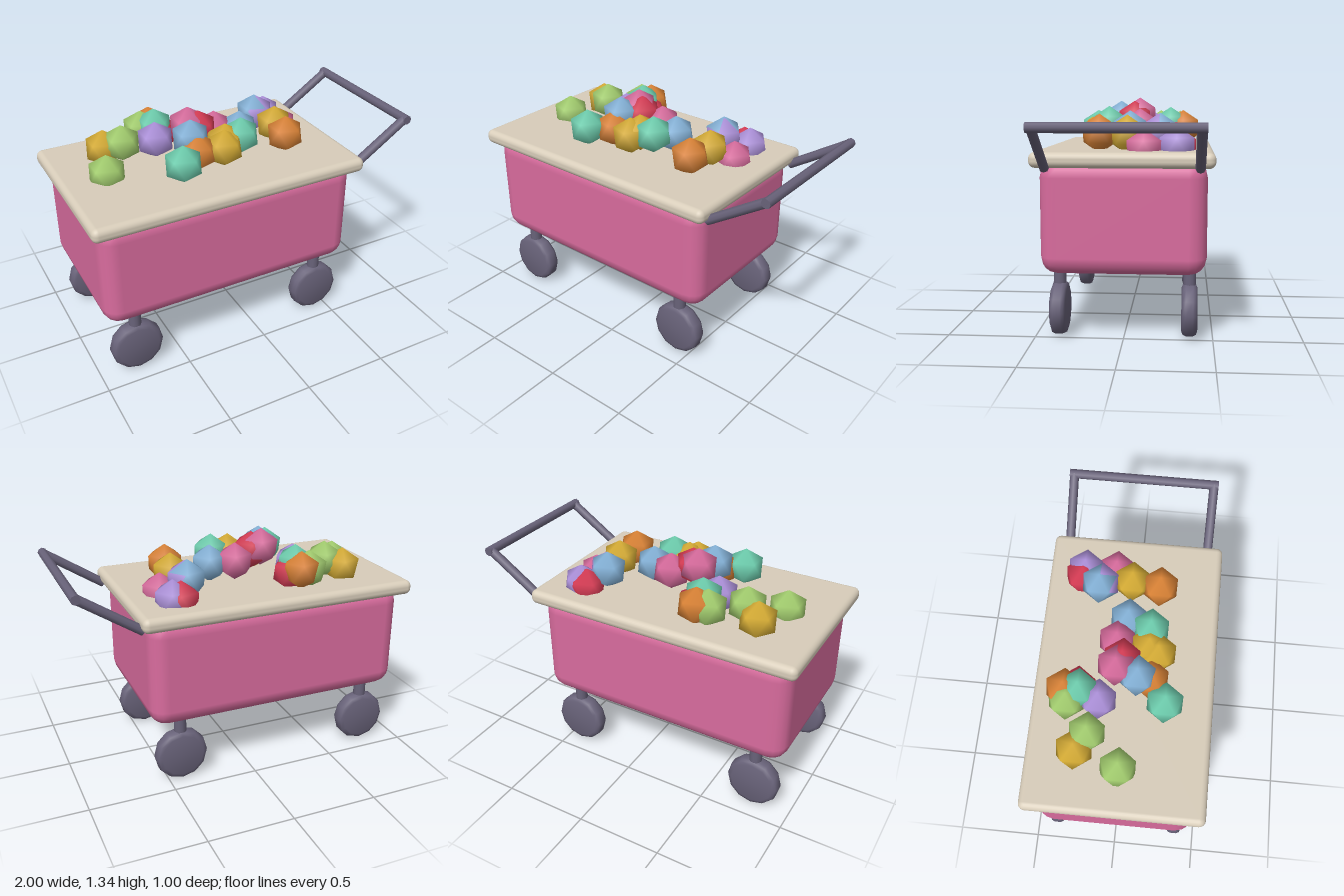
import * as THREE from 'three';
import { toCreasedNormals } from 'three/addons/utils/BufferGeometryUtils.js';
import { RoundedBoxGeometry } from 'three/addons/geometries/RoundedBoxGeometry.js';

const COLORS = {
  pink: 0xd96c9e, cream: 0xd8cdba, slate: 0x69637a, lime: 0xa5d070, yellow: 0xd8ae35,
  teal: 0x6fd0b0, blue: 0x86b4da, orange: 0xdc8436, purple: 0xae92dc, red: 0xd83c55,
};

// colour, centre x, y, z of every candy
const CANDIES = [
  ['lime', -0.74, 1.08, 0.01], ['yellow', -0.67, 1.11, -0.23], ['lime', -0.58, 1.145, -0.17],
  ['lime', -0.41, 1.145, -0.3], ['orange', -0.35, 1.15, -0.32], ['teal', -0.35, 1.17, -0.24],
  ['red', -0.32, 1.12, -0.25], ['purple', -0.39, 1.14, -0.13], ['pink', -0.22, 1.23, -0.05],
  ['red', -0.17, 1.21, -0.02], ['pink', -0.05, 1.165, -0.06], ['blue', 0.09, 1.155, -0.01],
  ['blue', -0.26, 1.21, 0.07], ['orange', -0.25, 1.15, 0.14], ['yellow', -0.1, 1.155, 0.17],
  ['yellow', -0.07, 1.165, 0.12], ['teal', 0.03, 1.18, 0.12], ['teal', -0.38, 1.15, 0.23],
  ['orange', 0.31, 1.14, 0.15], ['yellow', 0.33, 1.135, -0.01], ['blue', 0.295, 1.145, -0.195],
  ['purple', 0.305, 1.14, -0.185], ['pink', 0.43, 1.06, -0.11], ['purple', 0.415, 1.075, -0.29],
  ['red', 0.37, 1.065, -0.3],
];

// Twenty-sided ball standing on a vertex, smoothly shaded
function candyGeometry(radius) {
  const g = new THREE.IcosahedronGeometry(radius, 0);
  g.rotateZ(-Math.atan(2 / (1 + Math.sqrt(5))));
  const p = g.attributes.position, v = new THREE.Vector3();
  for (let i = 0; i < p.count; i++) {
    v.fromBufferAttribute(p, i).normalize();
    g.attributes.normal.setXYZ(i, v.x, v.y, v.z);
  }
  return g;
}

// Thick twelve-sided wheel with bevelled rims, axle along z
function wheelGeometry() {
  const profile = [[0, -0.045], [0.125, -0.045], [0.146, -0.037], [0.155, -0.02],
    [0.155, 0.02], [0.146, 0.037], [0.125, 0.045], [0, 0.045]];
  const g = new THREE.LatheGeometry(profile.map(([r, y]) => new THREE.Vector2(r, y)), 12);
  g.rotateX(Math.PI / 2);
  return toCreasedNormals(g, 0.8);
}

// Straight bar between two points
function barGeometry(a, b, radius) {
  const dir = new THREE.Vector3().subVectors(b, a);
  const g = new THREE.CylinderGeometry(radius, radius, dir.length(), 8);
  g.applyQuaternion(new THREE.Quaternion().setFromUnitVectors(
    new THREE.Vector3(0, 1, 0), dir.clone().normalize()));
  const mid = new THREE.Vector3().addVectors(a, b).multiplyScalar(0.5);
  return g.translate(mid.x, mid.y, mid.z);
}

export function createModel() {
  const model = new THREE.Group();
  model.name = 'candyCart';
  const mats = {};
  for (const [name, color] of Object.entries(COLORS)) {
    mats[name] = new THREE.MeshStandardMaterial({ color });
    mats[name].name = name;
  }
  const add = (parent, name, geometry, mat, x = 0, y = 0, z = 0) => {
    const mesh = new THREE.Mesh(geometry, mats[mat]);
    mesh.name = name;
    mesh.position.set(x, y, z);
    parent.add(mesh);
    return mesh;
  };

  // Body and counter top
  add(model, 'body', new RoundedBoxGeometry(1.555, 0.64, 0.92, 2, 0.1), 'pink', -0.178, 0.692, 0);
  add(model, 'counterTop', new RoundedBoxGeometry(1.645, 0.085, 1, 3, 0.036), 'cream', -0.178, 1.012, 0);

  // Four casters
  const wheel = wheelGeometry();
  const stem = new THREE.CylinderGeometry(0.036, 0.036, 0.16, 12);
  for (const x of [-0.772, 0.418]) {
    for (const z of [-0.368, 0.368]) {
      const caster = new THREE.Group();
      caster.name = 'caster';
      caster.position.set(x, 0, z);
      add(caster, 'wheel', wheel, 'slate', 0, 0.155, 0);
      add(caster, 'stem', stem, 'slate', 0, 0.34, 0);
      model.add(caster);
    }
  }

  // Push handle
  const handle = new THREE.Group();
  handle.name = 'pushHandle';
  const at = (x, y, z) => new THREE.Vector3(x, y, z);
  for (const z of [-0.418, 0.412]) {
    add(handle, 'handleArm', barGeometry(at(0.625, 0.97, z), at(0.975, 1.2, z), 0.027), 'slate');
  }
  add(handle, 'handleGrip', barGeometry(at(0.972, 1.198, -0.444), at(0.972, 1.198, 0.438), 0.027), 'slate');
  model.add(handle);

  // Pile of candies
  const candies = new THREE.Group();
  candies.name = 'candies';
  const ball = candyGeometry(0.112);
  for (const [color, x, y, z] of CANDIES) add(candies, color + 'Candy', ball, color, x, y, z);
  model.add(candies);

  return model;
}
